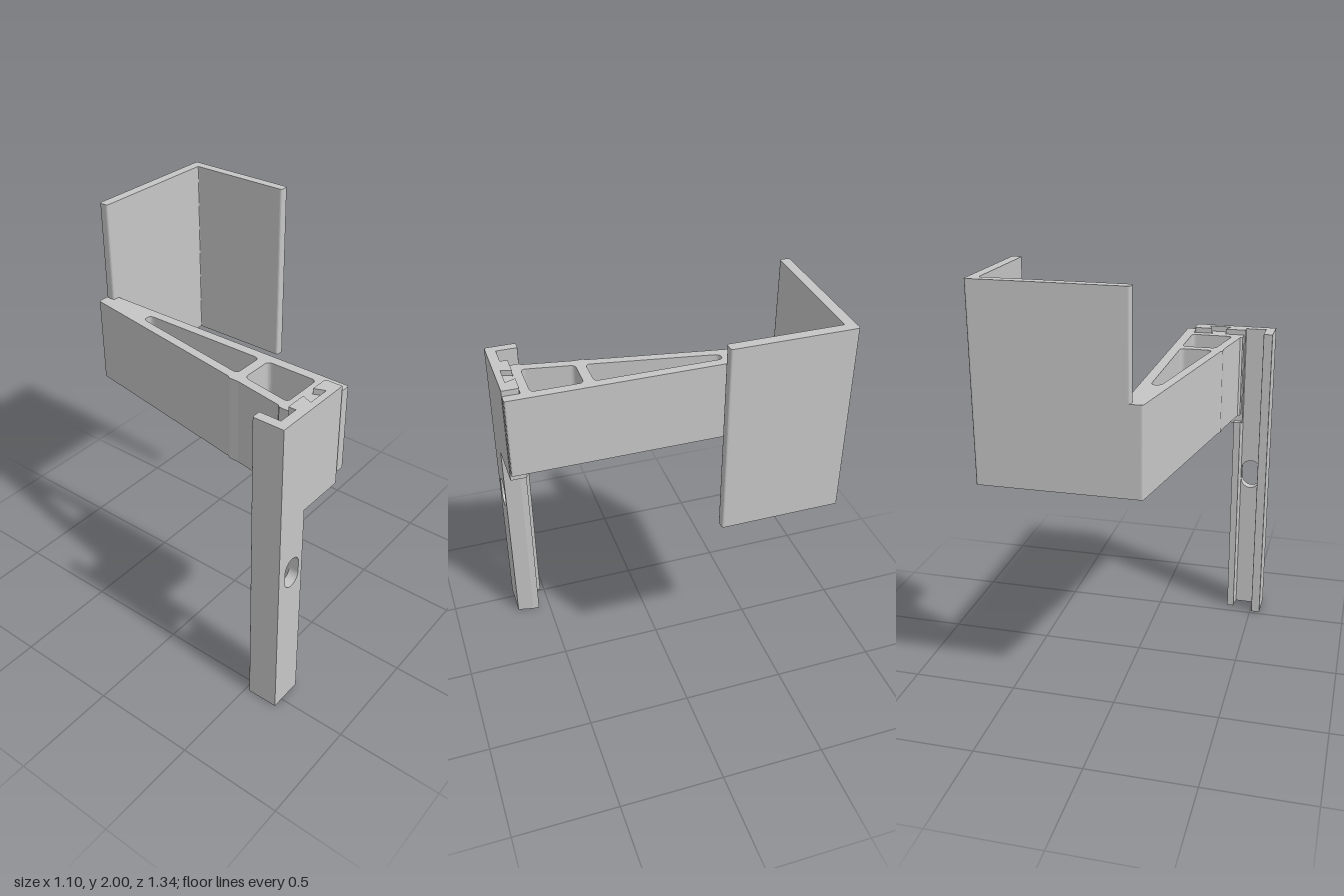
import * as THREE from 'three';

// Trace a closed polygon of [x, y, cornerRadius] points with rounded corners
function roundedPath(points, path) {
  const n = points.length;
  points.forEach(([x, y, r = 0], i) => {
    const p = new THREE.Vector2(x, y);
    const toward = (q) => {
      const d = new THREE.Vector2(q[0] - x, q[1] - y);
      return d.setLength(Math.min(r, d.length() * 0.49)).add(p);
    };
    const a = toward(points[(i + n - 1) % n]);
    const b = toward(points[(i + 1) % n]);
    if (i === 0) path.moveTo(a.x, a.y);
    else path.lineTo(a.x, a.y);
    if (r > 0) path.quadraticCurveTo(x, y, b.x, b.y);
  });
  path.closePath();
  return path;
}

// Extrude a plan outline of [x, z, radius] points upward from y0 to y1.
// Holes must wind the opposite way to the outline.
function planExtrusion(outline, y0, y1, holes = []) {
  const flip = (pts) => pts.map(([x, z, r]) => [x, -z, r]);
  const shape = roundedPath(flip(outline), new THREE.Shape());
  holes.forEach((h) => shape.holes.push(roundedPath(flip(h), new THREE.Path())));
  const geo = new THREE.ExtrudeGeometry(shape, { depth: y1 - y0, bevelEnabled: false, curveSegments: 6 });
  return geo.rotateX(-Math.PI / 2).translate(0, y0, 0);
}

export function createModel() {
  const model = new THREE.Group();
  model.name = 'hookBracket';
  const grey = new THREE.MeshStandardMaterial({ color: 0xc6c6c6 });
  grey.name = 'grey';
  const add = (name, geometry) => {
    const mesh = new THREE.Mesh(geometry, grey);
    mesh.name = name;
    model.add(mesh);
  };

  // Tall L-shaped hook
  add('hook', planExtrusion([
    [-0.13, -0.67, 0.012], [0.552, -0.67, 0.012], [0.552, -0.12, 0.012],
    [0.506, -0.12, 0.012], [0.506, -0.623, 0.006], [-0.13, -0.623, 0.012],
  ], 1.12, 2));

  // Tapering arm with two windows and a dovetail tongue
  add('arm', planExtrusion([
    [-0.182, -0.67, 0.01], [-0.097, -0.67], [-0.097, 0.67, 0.01], [-0.143, 0.67, 0.01],
    [-0.143, 0.585, 0.008], [-0.241, 0.585], [-0.222, 0.633], [-0.322, 0.633], [-0.303, 0.585],
    [-0.401, 0.585], [-0.401, 0.537], [-0.39, 0.527], [-0.349, 0.292],
    [-0.349, 0.245], [-0.339, 0.23],
  ], 1.12, 1.53, [
    [[-0.298, 0.245, 0.025], [-0.144, 0.245, 0.025], [-0.144, -0.38, 0.028], [-0.188, -0.38, 0.028]],
    [[-0.348, 0.541, 0.025], [-0.144, 0.541, 0.025], [-0.144, 0.293, 0.025], [-0.305, 0.293, 0.025]],
  ]));

  // Mounting block: dovetail socket closed by a solid stop below
  add('socket', planExtrusion([
    [-0.408, 0.587], [-0.307, 0.587], [-0.327, 0.638], [-0.217, 0.638], [-0.237, 0.587],
    [-0.148, 0.587, 0.014], [-0.148, 0.67], [-0.408, 0.67],
  ], 1.11, 1.555));
  add('socketStop', planExtrusion([
    [-0.408, 0.587], [-0.148, 0.587, 0.014], [-0.148, 0.67], [-0.408, 0.67],
  ], 1.062, 1.11));

  // Post face with a slotted screw hole
  const face = roundedPath([[-0.552, 0], [-0.408, 0], [-0.408, 1.555], [-0.552, 1.555]], new THREE.Shape());
  const slot = new THREE.Path();
  const cx = -0.459, r = 0.049;
  slot.absarc(cx, 0.794, r, 0, Math.PI, false);
  slot.absarc(cx, 0.739, r, Math.PI, Math.PI * 2, false);
  slot.closePath();
  face.holes.push(slot);
  add('postFace', new THREE.ExtrudeGeometry(face, { depth: 0.047, bevelEnabled: false, curveSegments: 16 })
    .translate(0, 0, 0.623));

  // Channel lips behind the post face
  add('postOuterLip', planExtrusion([
    [-0.552, 0.519, 0.005], [-0.507, 0.519, 0.005], [-0.507, 0.623], [-0.552, 0.623],
  ], 0, 1.555));
  add('postInnerLip', planExtrusion([
    [-0.402, 0.558], [-0.368, 0.558], [-0.368, 0.59], [-0.385, 0.67], [-0.408, 0.67],
    [-0.408, 0.623], [-0.402, 0.587],
  ], 0, 1.073));

  return model;
}
